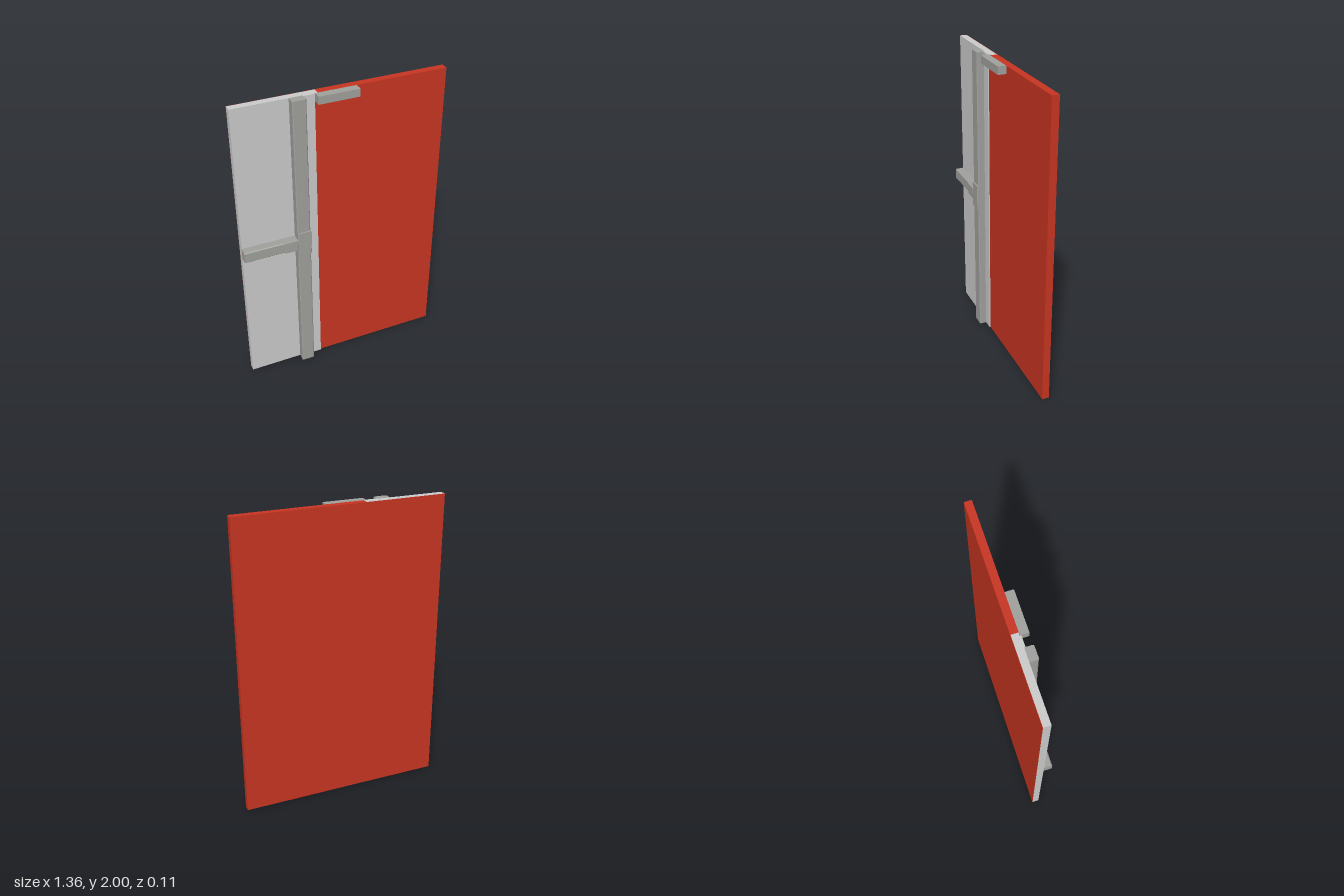
import * as THREE from 'three';

const paint = (name, color) => {
  const m = new THREE.MeshStandardMaterial({ color });
  m.name = name;
  return m;
};

export function createModel() {
  const group = new THREE.Group();
  group.name = 'wallPanel';
  const red = paint('red', 0xc83522);
  const lightGrey = paint('lightGrey', 0xcbcbcb);
  const grey = paint('grey', 0xa0a09d);

  const add = (name, geometry, material) => {
    const mesh = new THREE.Mesh(geometry, material);
    mesh.name = name;
    group.add(mesh);
    return mesh;
  };

  // Box given by its extents on each axis
  const box = (name, material, x0, x1, y0, y1, z0, z1) => {
    const g = new THREE.BoxGeometry(x1 - x0, y1 - y0, z1 - z0);
    g.translate((x0 + x1) / 2, (y0 + y1) / 2, (z0 + z1) / 2);
    return add(name, g, material);
  };

  // Bar along y with chamfered front edges
  const chamferBar = (name, x0, x1, y0, y1, z0, z1, c) => {
    const s = new THREE.Shape([
      [x0, -z0], [x0, -z1 + c], [x0 + c, -z1], [x1 - c, -z1], [x1, -z1 + c], [x1, -z0],
    ].map(([x, y]) => new THREE.Vector2(x, y)));
    const g = new THREE.ExtrudeGeometry(s, { depth: y1 - y0, bevelEnabled: false });
    g.rotateX(-Math.PI / 2).translate(0, y0, 0);
    return add(name, g, grey);
  };

  // Slab: red side, grey side, and the red skin over the grey back
  box('redPanel', red, -0.155, 0.68, 0, 2, -0.055, -0.008);
  box('greyPanel', lightGrey, -0.68, -0.155, 0, 2, -0.053, -0.008);
  box('redBackSkin', red, -0.68, -0.155, 0, 2, -0.055, -0.053);
  box('redFrontLip', red, -0.175, -0.155, 0, 2, -0.009, -0.007);

  // Raised strip beside the post
  box('edgeStrip', lightGrey, -0.245, -0.175, 0, 2, -0.01, 0);

  // Upright post and cross bar with a thicker joint
  chamferBar('post', -0.33, -0.243, 0, 2, -0.01, 0.046, 0.006);
  const bar = chamferBar('crossBar', -1.05, -0.975, -0.68, -0.32, -0.01, 0.046, 0.006);
  bar.geometry.rotateZ(Math.PI / 2).scale(1, -1, 1);
  bar.geometry.dispose();
  // Cross bar is rebuilt lying along x
  const profile = new THREE.Shape([
    [0.01, 0.975], [-0.04, 0.975], [-0.046, 0.981], [-0.046, 1.044], [-0.04, 1.05], [0.01, 1.05],
  ].map(([x, y]) => new THREE.Vector2(x, y)));
  bar.geometry = new THREE.ExtrudeGeometry(profile, { depth: 0.36, bevelEnabled: false })
    .rotateY(Math.PI / 2).translate(-0.68, 0, 0);

  chamferBar('postJoint', -0.33, -0.241, 0.93, 1.1, 0.03, 0.055, 0.005);
  chamferBar('barJoint', -0.42, -0.325, 0.976, 1.049, 0.03, 0.054, 0.005);

  // Short bracket at the top
  box('topBracket', grey, -0.172, 0.088, 1.95, 2, -0.008, 0.045);

  return group;
}
